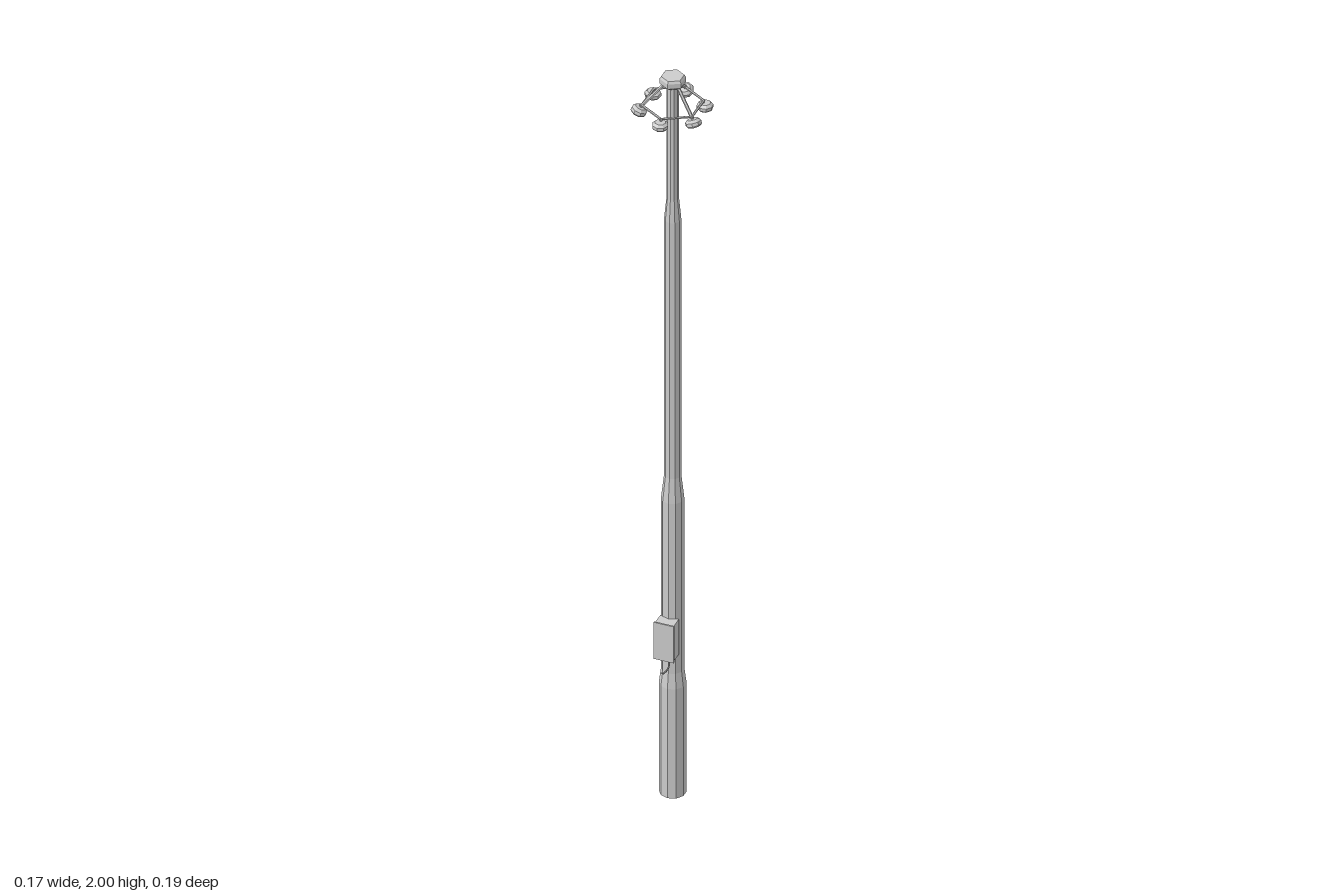
import * as THREE from 'three';

const material = new THREE.MeshStandardMaterial({ color: 0xcccccc, flatShading: true });

function add(parent, name, geometry, x = 0, y = 0, z = 0) {
  const mesh = new THREE.Mesh(geometry, material);
  mesh.name = name;
  mesh.position.set(x, y, z);
  parent.add(mesh);
  return mesh;
}

// Closed turned form from [radius, height] pairs
function turned(points, sides) {
  return new THREE.LatheGeometry(points.map(([r, y]) => new THREE.Vector2(r, y)), sides);
}

// Straight rod between two points
function rod(parent, name, a, b, radius) {
  const dir = b.clone().sub(a);
  const mesh = add(parent, name, new THREE.CylinderGeometry(radius, radius, dir.length(), 6));
  mesh.position.copy(a).add(b).multiplyScalar(0.5);
  mesh.quaternion.setFromUnitVectors(new THREE.Vector3(0, 1, 0), dir.normalize());
}

// Point at a given radius, height and angle from the front
const polar = (r, y, a) => new THREE.Vector3(r * Math.sin(a), y, r * Math.cos(a));

export function createModel() {
  const model = new THREE.Group();
  model.name = 'floodlightMast';

  // Stepped pole
  add(model, 'pole', turned([
    [0, 0], [0.032, 0], [0.032, 0.305], [0.027, 0.345], [0.027, 0.82],
    [0.02, 0.885], [0.02, 1.6], [0.0145, 1.66], [0.0145, 1.98], [0, 1.98],
  ], 10));

  // Hexagonal cap
  add(model, 'cap', turned([
    [0, 1.975], [0.024, 1.975], [0.031, 1.981], [0.031, 1.994], [0.027, 2], [0, 2],
  ], 6));

  // Lamp crown: hexagonal ring, three struts and six lamps
  const crown = new THREE.Group();
  crown.name = 'lampCrown';
  model.add(crown);
  const lampShape = turned([
    [0, -0.009], [0.016, -0.009], [0.0195, -0.005], [0.0195, 0.003], [0.013, 0.009], [0, 0.009],
  ], 8);
  for (let i = 0; i < 6; i++) {
    const a = i * Math.PI / 3;
    rod(crown, 'ringBar', polar(0.072, 1.924, a), polar(0.072, 1.924, a + Math.PI / 3), 0.003);
    const braced = i % 2 === 1;
    if (braced) rod(crown, 'strut', polar(0.018, 1.98, a), polar(0.073, 1.922, a), 0.0042);

    const mount = new THREE.Group();
    mount.name = 'lampMount';
    mount.position.copy(polar(braced ? 0.078 : 0.075, braced ? 1.911 : 1.909, a));
    mount.rotation.y = a;
    crown.add(mount);
    // Lamps on the struts lean outward
    add(mount, 'lamp', lampShape).rotation.x = braced ? -0.4 : 0;
    add(mount, 'lampStem', new THREE.CylinderGeometry(0.003, 0.003, 0.012, 6), 0, 0.01, -0.004);
  }

  // Control box with its door
  add(model, 'controlBox', new THREE.BoxGeometry(0.046, 0.098, 0.034), 0, 0.449, 0.036);
  add(model, 'controlBoxDoor', new THREE.BoxGeometry(0.05, 0.102, 0.004), 0, 0.449, 0.053);

  // Cable from the box back into the pole
  const cable = new THREE.CatmullRomCurve3([
    new THREE.Vector3(0.01, 0.402, 0.045),
    new THREE.Vector3(0.008, 0.375, 0.045),
    new THREE.Vector3(-0.006, 0.352, 0.037),
    new THREE.Vector3(-0.019, 0.335, 0.018),
  ]);
  add(model, 'cable', new THREE.TubeGeometry(cable, 10, 0.0022, 6));

  return model;
}
